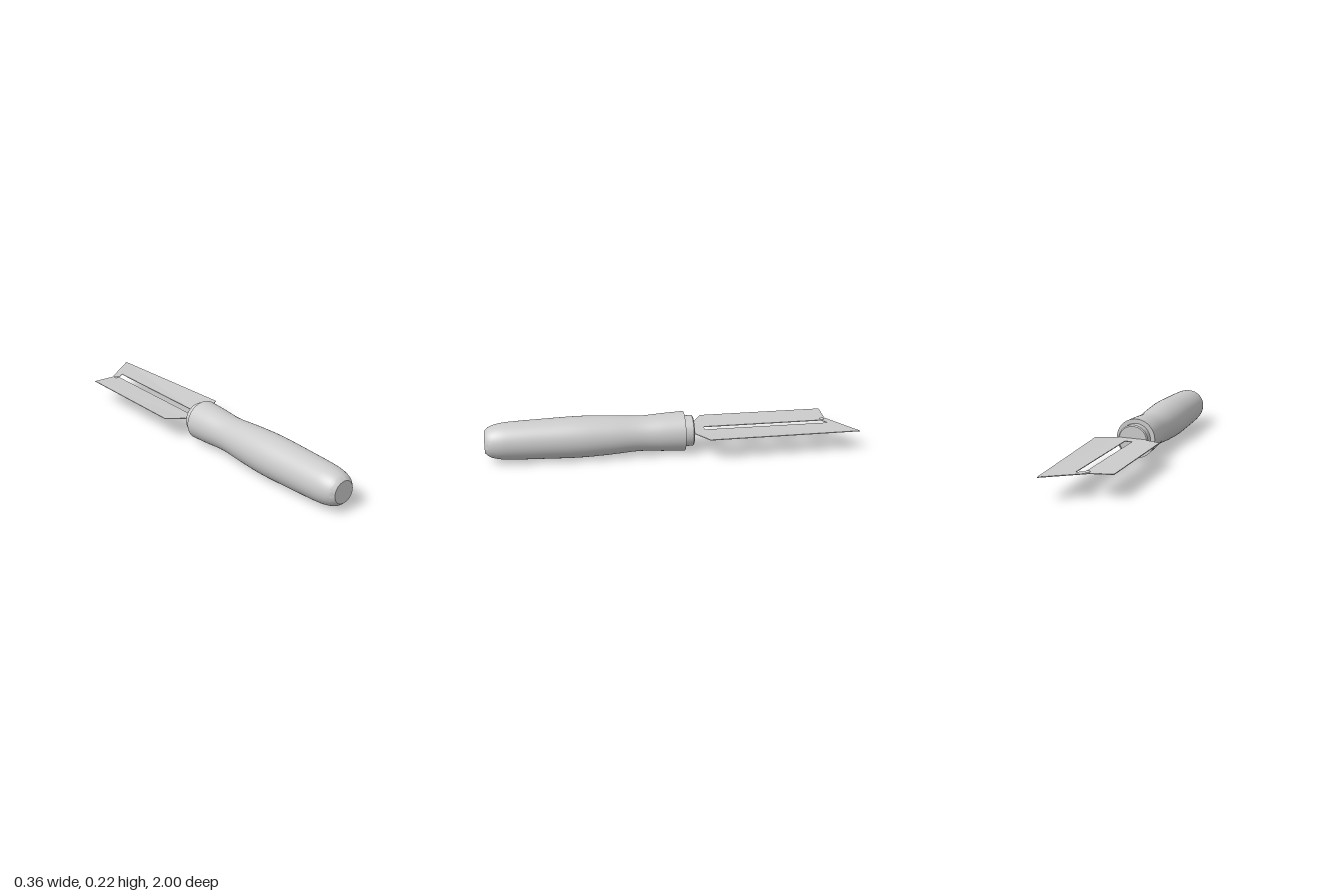
import * as THREE from 'three';
import { toCreasedNormals } from 'three/addons/utils/BufferGeometryUtils.js';

const AXIS_X = -0.01, AXIS_Y = 0.113;
const grey = new THREE.MeshStandardMaterial({ color: 0xcccccc, side: THREE.DoubleSide });
const v2 = ([x, y]) => new THREE.Vector2(x, y);

// Turned part whose axis runs along z; profile is [radius, z] from back to front
function turned(name, profile) {
  const geo = new THREE.LatheGeometry(profile, 48);
  geo.rotateX(Math.PI / 2);
  const mesh = new THREE.Mesh(toCreasedNormals(geo, 0.6), grey);
  mesh.name = name;
  mesh.position.set(AXIS_X, AXIS_Y, 0);
  return mesh;
}

// Height of the blade sheet: both wings lift outwards, the long one twists down to its tip
function bladeHeight(x, z) {
  if (x < -0.07) return (-0.07 - x) * 0.05;
  return Math.max(0, x) * 0.065 * (z + 1) / 0.82;
}

export function createModel() {
  const model = new THREE.Group();
  model.name = 'peeler';

  // Handle: swelling grip, narrow waist, flat butt
  const grip = new THREE.SplineCurve([
    [0.107, -0.062], [0.102, 0.05], [0.095, 0.18], [0.105, 0.34], [0.111, 0.5],
    [0.107, 0.68], [0.101, 0.86], [0.094, 0.93], [0.08, 0.975], [0.06, 1],
  ].map(v2)).getPoints(50);
  model.add(turned('handle', [v2([0, -0.062]), ...grip, v2([0, 1])]));

  // Collar between handle and blade
  model.add(turned('collar', [
    [0, -0.112], [0.077, -0.112], [0.083, -0.106], [0.083, -0.06],
  ].map(v2)));

  // Blade: thin sheet with a slot between the two wings, drawn as (x, z)
  const outline = new THREE.Shape([
    [-0.18, -0.857], [-0.058, -0.857], [0.143, -1], [0.175, -0.178],
    [0.068, -0.113], [0.055, -0.1], [-0.075, -0.1], [-0.088, -0.122], [-0.18, -0.178],
  ].map(v2));
  outline.holes.push(new THREE.Path([
    [-0.03, -0.175], [0.011, -0.175], [0.011, -0.857], [-0.03, -0.83],
  ].map(v2)));
  const sheet = new THREE.ExtrudeGeometry(outline, { depth: 0.004, bevelEnabled: false });
  sheet.rotateX(Math.PI / 2);
  const p = sheet.attributes.position;
  for (let i = 0; i < p.count; i++) {
    p.setY(i, p.getY(i) + 0.122 + bladeHeight(p.getX(i), p.getZ(i)));
  }
  sheet.computeVertexNormals();
  const blade = new THREE.Mesh(sheet, grey);
  blade.name = 'blade';
  model.add(blade);

  // Small rivet on the bridge at the end of the slot
  const rivet = new THREE.Mesh(new THREE.SphereGeometry(0.012, 16, 10), grey);
  rivet.name = 'rivet';
  rivet.scale.y = 0.6;
  rivet.position.set(-0.043, 0.122, -0.838);
  model.add(rivet);

  return model;
}
